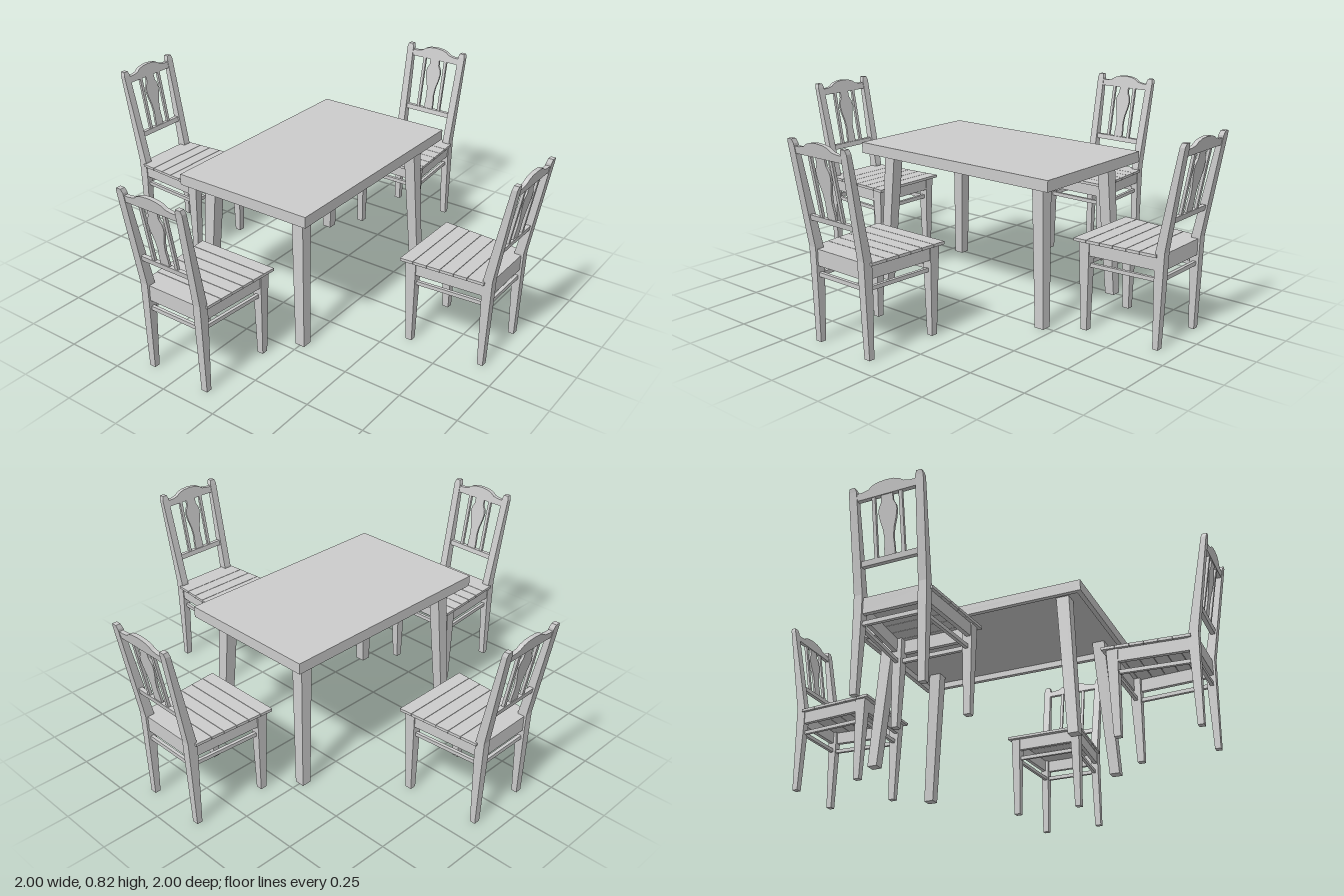
import * as THREE from 'three';

const material = new THREE.MeshStandardMaterial({ color: 0xcccccc, flatShading: true });

function add(parent, name, geometry) {
  const mesh = new THREE.Mesh(geometry, material);
  mesh.name = name;
  parent.add(mesh);
  return mesh;
}

// Horizontal rectangle or trapezoid (half-widths) as a ring, counter-clockwise from above
const rect = (y, x0, x1, z0, z1) => [[x0, y, z1], [x1, y, z1], [x1, y, z0], [x0, y, z0]];
const trapezoid = (y, z0, w0, z1, w1) => [[-w1, y, z1], [w1, y, z1], [w0, y, z0], [-w0, y, z0]];

// Closed solid through four-cornered rings, listed from bottom to top
function loft(rings) {
  const p = [];
  const quad = (a, b, c, d) => p.push(...a, ...b, ...c, ...a, ...c, ...d);
  for (let k = 0; k < rings.length - 1; k++) {
    const a = rings[k], b = rings[k + 1];
    for (let i = 0; i < 4; i++) {
      const j = (i + 1) % 4;
      quad(a[i], a[j], b[j], b[i]);
    }
  }
  const bottom = rings[0], top = rings[rings.length - 1];
  quad(bottom[3], bottom[2], bottom[1], bottom[0]);
  quad(...top);
  const g = new THREE.BufferGeometry();
  g.setAttribute('position', new THREE.Float32BufferAttribute(p, 3));
  g.computeVertexNormals();
  return g;
}

// Leg or post from [y, x0, x1, z0, z1] sections, mirrored when side is -1
const post = (sections, side) => loft(sections.map(([y, x0, x1, z0, z1]) =>
  side > 0 ? rect(y, x0, x1, z0, z1) : rect(y, -x1, -x0, z0, z1)));

function box(x0, x1, y0, y1, z0, z1) {
  return loft([rect(y0, x0, x1, z0, z1), rect(y1, x0, x1, z0, z1)]);
}

// Slope a backrest part backwards, starting at seat height
function lean(geometry) {
  const p = geometry.attributes.position;
  for (let i = 0; i < p.count; i++) p.setZ(i, p.getZ(i) + 0.908 + (p.getY(i) - 0.38) * 0.183);
  geometry.computeVertexNormals();
  return geometry;
}

// Flat board with a mirrored outline, extruded around z = 0
function board(half, depth) {
  const right = half.map(([x, y]) => new THREE.Vector2(x, y));
  const left = half.slice().reverse().map(([x, y]) => new THREE.Vector2(-x, y));
  const g = new THREE.ExtrudeGeometry(new THREE.Shape([...right, ...left]), { depth, bevelEnabled: false });
  return g.translate(0, 0, -depth / 2);
}

// Chair with its back towards +z
function createChair() {
  const chair = new THREE.Group();
  chair.name = 'chair';

  for (const s of [-1, 1]) {
    add(chair, 'frontLeg', post([
      [0, 0.138, 0.165, 0.57, 0.598],
      [0.37, 0.13, 0.172, 0.557, 0.605]], s));
    add(chair, 'rearLegAndPost', post([
      [0, 0.122, 0.15, 0.893, 0.917],
      [0.32, 0.115, 0.15, 0.886, 0.926],
      [0.39, 0.115, 0.15, 0.889, 0.928],
      [0.80, 0.125, 0.158, 0.974, 0.996],
      [0.817, 0.131, 0.153, 0.979, 1.0]], s));

    // Side apron and side stretcher follow the taper of the seat
    const rail = (y, w, i) => {
      const a = 0.17 - i, b = 0.147 - i;
      const ring = [[a - w, y, 0.59], [a, y, 0.59], [b, y, 0.9], [b - w, y, 0.9]];
      return s > 0 ? [ring[0], ring[3], ring[2], ring[1]].reverse()
        : ring.map(([x, yy, z]) => [-x, yy, z]).reverse();
    };
    const ordered = (r) => {
      // Keep the ring counter-clockwise from above
      let area = 0;
      r.forEach((p, i) => { const q = r[(i + 1) % 4]; area += p[2] * q[0] - p[0] * q[2]; });
      return area < 0 ? r.slice().reverse() : r;
    };
    add(chair, 'sideApron', loft([ordered(rail(0.315, 0.018, 0.002)), ordered(rail(0.37, 0.018, 0.002))]));
    add(chair, 'sideStretcher', loft([ordered(rail(0.266, 0.014, 0.012)), ordered(rail(0.282, 0.014, 0.012))]));
  }

  // Front and rear rails
  add(chair, 'frontApron', box(-0.15, 0.15, 0.315, 0.37, 0.56, 0.578));
  add(chair, 'rearApron', box(-0.13, 0.13, 0.315, 0.37, 0.9, 0.918));
  add(chair, 'frontStretcher', box(-0.145, 0.145, 0.27, 0.287, 0.575, 0.589));
  add(chair, 'rearStretcher', box(-0.125, 0.125, 0.27, 0.287, 0.9, 0.914));

  // Seat planks with thin gaps
  const cuts = [0.54, 0.596, 0.655, 0.712, 0.77, 0.827, 0.898];
  const width = (z) => 0.185 - (z - 0.54) * 0.075;
  for (let i = 0; i < cuts.length - 1; i++) {
    const z0 = cuts[i] + (i ? 0.001 : 0), z1 = cuts[i + 1] - 0.001;
    add(chair, 'seatPlank', loft([0.369, 0.381].map((y) => trapezoid(y, z0, width(z0), z1, width(z1)))));
  }
  add(chair, 'seatRearEdge', box(-0.116, 0.116, 0.369, 0.381, 0.897, 0.918));

  // Backrest
  add(chair, 'crestRail', lean(board([
    [0, 0.762], [0.13, 0.762], [0.13, 0.79], [0.1, 0.791], [0.075, 0.796],
    [0.058, 0.808], [0.035, 0.815], [0, 0.818]], 0.018)));
  add(chair, 'lowerBackRail', lean(box(-0.124, 0.124, 0.5, 0.522, -0.009, 0.009)));
  add(chair, 'centreSplat', lean(board([
    [0, 0.515], [0.022, 0.515], [0.022, 0.55], [0.019, 0.59], [0.023, 0.625], [0.034, 0.665],
    [0.039, 0.695], [0.036, 0.715], [0.025, 0.735], [0.024, 0.77], [0, 0.77]], 0.01)));
  for (const x of [-0.057, 0.057]) {
    add(chair, 'backSpindle', lean(box(x - 0.007, x + 0.007, 0.515, 0.77, -0.006, 0.006)));
  }
  return chair;
}

function createTable() {
  const table = new THREE.Group();
  table.name = 'table';
  const X = 0.51, Z = 0.316, rim = 0.02;
  add(table, 'tableTop', box(-X, X, 0.612, 0.632, -Z, Z));
  for (const s of [-1, 1]) {
    // Rim below the top
    const x = s * (X - rim / 2), z = s * (Z - rim / 2);
    add(table, 'endRim', box(x - rim / 2, x + rim / 2, 0.585, 0.612, -Z, Z));
    add(table, 'sideRim', box(-X + rim, X - rim, 0.585, 0.612, z - rim / 2, z + rim / 2));
    // Splayed, tapered legs
    for (const t of [-1, 1]) {
      const ring = (y, a, b, c, d) => rect(y, s > 0 ? a : -b, s > 0 ? b : -a, t > 0 ? c : -d, t > 0 ? d : -c);
      add(table, 'tableLeg', loft([
        ring(0, 0.42, 0.463, 0.228, 0.271),
        ring(0.613, 0.38, 0.435, 0.193, 0.247)]));
    }
  }
  return table;
}

export function createModel() {
  const model = new THREE.Group();
  model.name = 'diningSet';
  model.add(createTable());
  for (let i = 0; i < 4; i++) {
    const chair = createChair();
    chair.rotation.y = i * Math.PI / 2;
    model.add(chair);
  }
  return model;
}
